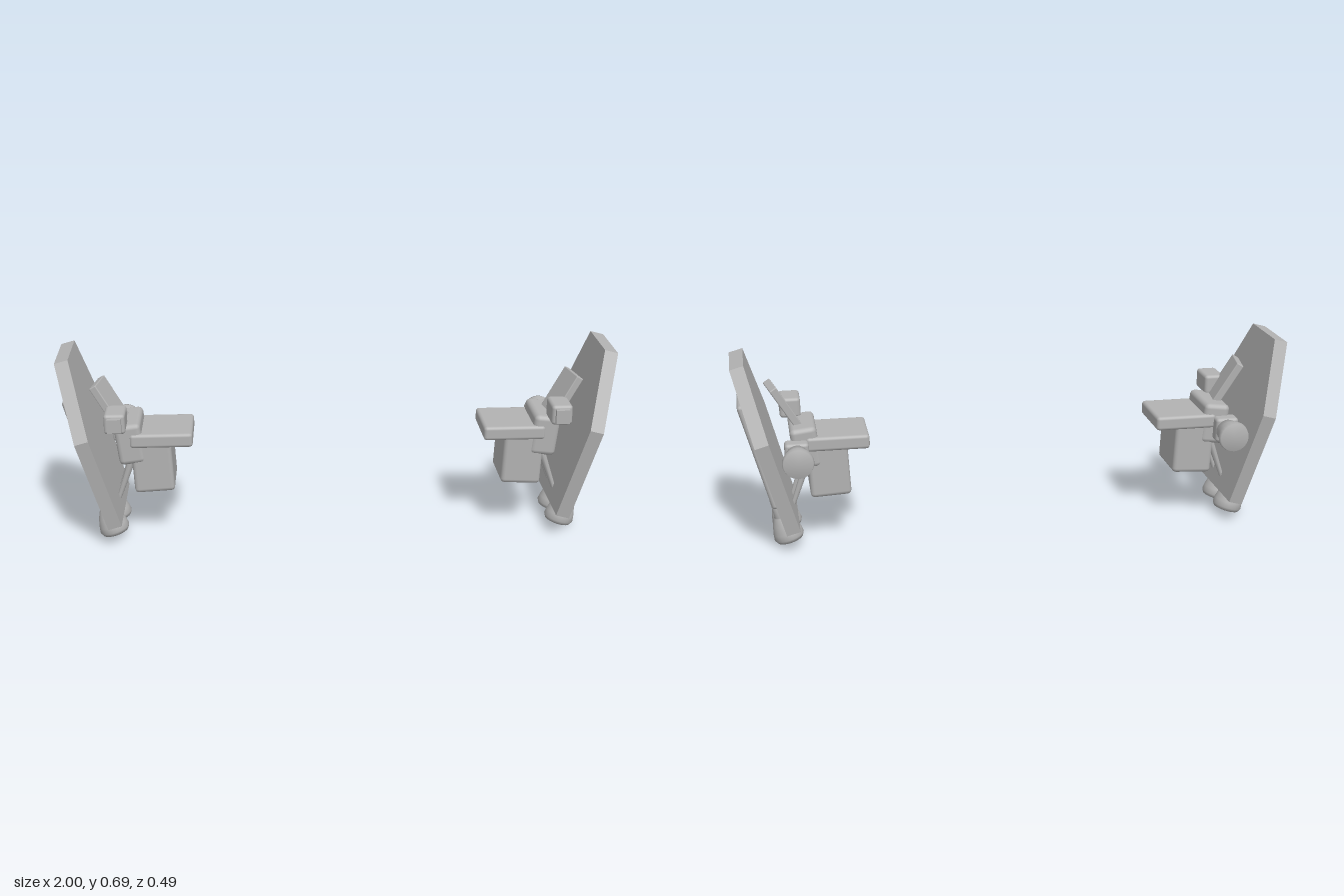
import * as THREE from 'three';
import { RoundedBoxGeometry } from 'three/addons/geometries/RoundedBoxGeometry.js';

const TILT = 0.269; // outward lean of the shield

export function createModel() {
  const grey = new THREE.MeshStandardMaterial({ color: 0xb2b2b2 });
  grey.name = 'light grey';
  const model = new THREE.Group();
  model.name = 'shoulderArmourPair';

  function add(parent, name, geometry, position, rotation = [0, 0, 0]) {
    const mesh = new THREE.Mesh(geometry, grey);
    mesh.name = name;
    mesh.position.set(...position);
    mesh.rotation.set(...rotation);
    parent.add(mesh);
    return mesh;
  }
  const rounded = (w, h, d, r = 0.012) => new RoundedBoxGeometry(w, h, d, 2, r);
  const lathe = (points) =>
    new THREE.LatheGeometry(points.map(([r, y]) => new THREE.Vector2(r, y)), 24);

  // Six-sided shield outline, drawn as (z, y)
  const outline = new THREE.Shape([
    [0.198, 0], [0.247, 0.358], [0.1, 0.62], [-0.135, 0.62], [-0.247, 0.358], [-0.198, 0],
  ].map(([z, y]) => new THREE.Vector2(z, y)));

  // side is +1 for the left unit and -1 for the right one
  function buildUnit(side) {
    const unit = new THREE.Group();
    unit.name = side > 0 ? 'leftUnit' : 'rightUnit';
    model.add(unit);

    // Leaning shield with its raised panel and thrusters
    const shield = new THREE.Group();
    shield.name = 'shieldAssembly';
    shield.position.set(side * 0.787, 0.09, 0);
    shield.rotation.z = -side * TILT;
    unit.add(shield);

    const plate = new THREE.ExtrudeGeometry(outline, { depth: 0.05, bevelEnabled: false });
    plate.translate(0, 0, -0.025).rotateY(-Math.PI / 2);
    add(shield, 'shieldPlate', plate, [side * 0.025, 0, 0]);
    add(shield, 'outerPanel', rounded(0.046, 0.405, 0.2), [side * 0.052, 0.273, 0]);

    for (const z of [0.067, -0.065]) {
      add(shield, 'lowerThruster', lathe([
        [0, -0.063], [0.048, -0.063], [0.055, -0.05], [0.052, -0.03], [0.044, 0.002],
        [0.031, 0.03], [0.028, 0.032], [0.025, 0.1], [0, 0.1],
      ]), [side * 0.053, 0, z]);
    }

    // Shoulder mount
    add(unit, 'shoulderSlab', rounded(0.225, 0.052, 0.222), [side * 0.639, 0.379, 0]);
    add(unit, 'shoulderBox', rounded(0.145, 0.19, 0.2, 0.015),
      [side * 0.673, 0.273, 0], [0, 0, -side * 0.05]);
    add(unit, 'collarBlock', rounded(0.095, 0.15, 0.21, 0.018),
      [side * 0.752, 0.364, 0], [0, 0, -side * 0.12]);

    // Rear thruster and its square mount
    add(unit, 'rearMount', rounded(0.085, 0.09, 0.06), [side * 0.785, 0.352, -0.115]);
    add(unit, 'rearThruster', lathe([
      [0, 0], [0.04, 0], [0.046, 0.05], [0.056, 0.08], [0.052, 0.097], [0, 0.097],
    ]), [side * 0.785, 0.352, -0.132], [-Math.PI / 2, 0, 0]);

    // Forward emitter with a square nose
    add(unit, 'emitterBody', rounded(0.075, 0.073, 0.115), [side * 0.796, 0.467, 0.113]);
    add(unit, 'emitterNose', new THREE.BoxGeometry(0.05, 0.05, 0.03),
      [side * 0.796, 0.467, 0.172]);

    // Leaning inner fin
    const fin = new THREE.Group();
    fin.name = 'innerFin';
    fin.position.set(side * 0.817, 0.49, 0.015);
    fin.rotation.y = side * 0.17;
    unit.add(fin);
    add(fin, 'finPlate', rounded(0.028, 0.195, 0.125, 0.004), [0, 0, 0], [0, 0, -side * 0.54]);

    // Thin struts from the mount down to the shield
    for (const z of [-0.045, 0.045]) {
      add(unit, 'strut', new THREE.CylinderGeometry(0.014, 0.008, 0.17, 8),
        [side * 0.775, 0.22, z], [0, 0, side * 0.34]);
    }
  }

  for (const side of [1, -1]) buildUnit(side);
  return model;
}
